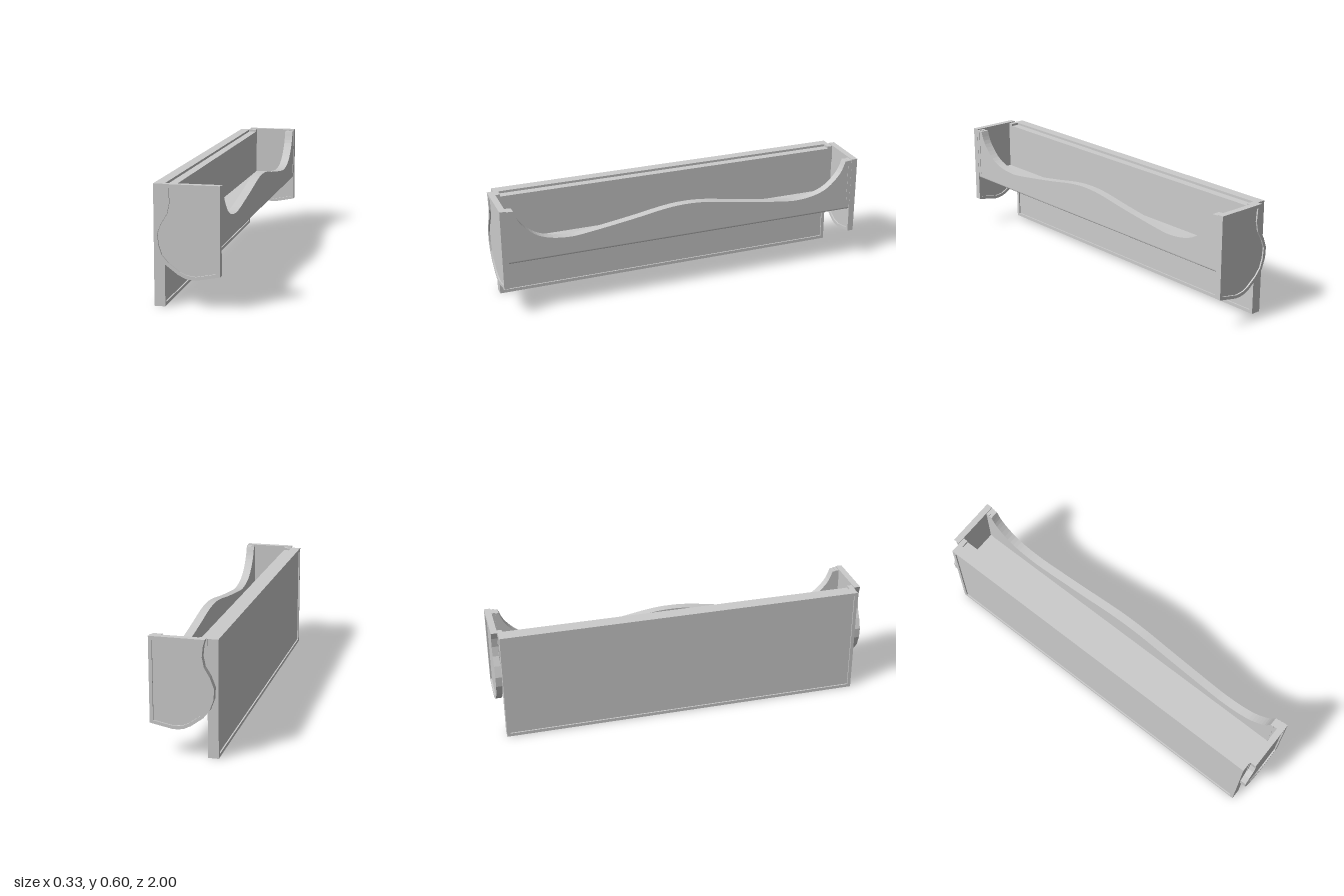
import * as THREE from 'three';

const material = new THREE.MeshStandardMaterial({ color: 0xcccccc, side: THREE.DoubleSide });
const toPoints = (list) => list.map(([x, y]) => new THREE.Vector2(x, y));

export function createModel() {
  const group = new THREE.Group();

  const add = (name, geometry) => {
    const mesh = new THREE.Mesh(geometry, material);
    mesh.name = name;
    group.add(mesh);
    return mesh;
  };

  // box given by its limits on each axis
  const box = (name, x0, x1, y0, y1, z0, z1) => {
    const g = new THREE.BoxGeometry(x1 - x0, y1 - y0, z1 - z0);
    g.translate((x0 + x1) / 2, (y0 + y1) / 2, (z0 + z1) / 2);
    return add(name, g);
  };

  // x-y outline extruded from z0 to z1
  const slab = (shape, z0, z1) =>
    new THREE.ExtrudeGeometry(shape, { depth: z1 - z0, bevelEnabled: false }).translate(0, 0, z0);

  // z-y outline (symmetric in z) extruded from x0 to x1
  const board = (shape, x0, x1) =>
    new THREE.ExtrudeGeometry(shape, { depth: x1 - x0, bevelEnabled: false })
      .rotateY(Math.PI / 2).translate(x0, 0, 0);

  const rect = (w, y0, y1) => toPoints([[-w, y0], [w, y0], [w, y1], [-w, y1]]);

  // back panel: raised rim around a thinner recessed field
  const rim = new THREE.Shape(rect(0.965, 0, 0.59));
  rim.holes.push(new THREE.Path(rect(0.947, 0.017, 0.573)));
  add('backPanelRim', board(rim, -0.165, -0.112));
  box('backPanelField', -0.158, -0.119, 0.017, 0.573, -0.947, 0.947);

  // inner back board
  box('innerBackBoard', -0.113, -0.07, 0.33, 0.578, -0.94, 0.94);

  // shelf floor with an eased lower front edge
  const floor = new THREE.Shape();
  floor.moveTo(-0.114, 0.3);
  floor.lineTo(0.148, 0.3);
  floor.quadraticCurveTo(0.16, 0.3, 0.16, 0.312);
  floor.lineTo(0.16, 0.33);
  floor.lineTo(-0.114, 0.33);
  add('shelfFloor', slab(floor, -0.967, 0.967));

  // front board with a wavy top edge
  const half = [[0.93, 0.588], [0.9, 0.52], [0.83, 0.45], [0.75, 0.415], [0.65, 0.402],
    [0.55, 0.409], [0.3, 0.445], [0.12, 0.475]];
  const wave = new THREE.SplineCurve(toPoints([
    ...half, [0, 0.483], ...half.map(([z, y]) => [-z, y]).reverse(),
  ])).getPoints(64);
  const front = new THREE.Shape([
    ...toPoints([[-0.948, 0.588], [-0.948, 0.33], [0.948, 0.33], [0.948, 0.588]]), ...wave,
  ]);
  add('frontBoard', board(front, 0.115, 0.16));

  // end panels: curved rim with a recessed field
  const outer = toPoints([[-0.11, 0.595], [-0.1, 0.56], [-0.095, 0.51], [-0.105, 0.46],
    [-0.132, 0.415], [-0.153, 0.36], [-0.15, 0.305], [-0.13, 0.25], [-0.1, 0.212],
    [-0.04, 0.167], [-0.005, 0.15], [0.02, 0.145], [0.05, 0.144], [0.163, 0.166], [0.163, 0.595]]);
  const inner = toPoints([[-0.084, 0.577], [-0.078, 0.51], [-0.09, 0.455], [-0.12, 0.405],
    [-0.138, 0.36], [-0.133, 0.305], [-0.117, 0.258], [-0.086, 0.222], [-0.03, 0.18],
    [0, 0.166], [0.045, 0.16], [0.146, 0.179], [0.146, 0.577]]);

  for (const [side, s] of [['left', 1], ['right', -1]]) {
    const range = (a, b) => (s > 0 ? [a, b] : [-b, -a]);
    const endRim = new THREE.Shape(outer);
    endRim.holes.push(new THREE.Path(inner));
    add(side + 'EndRim', slab(endRim, ...range(0.967, 1)));
    add(side + 'EndField', slab(new THREE.Shape(inner), ...range(0.975, 0.992)));

    // upright cleats that carry the front and back boards
    box(side + 'FrontCleat', 0.117, 0.162, 0.33, 0.59, ...range(0.948, 0.968));
    box(side + 'BackCleat', -0.113, -0.07, 0.33, 0.59, ...range(0.94, 0.968));
  }

  return group;
}
